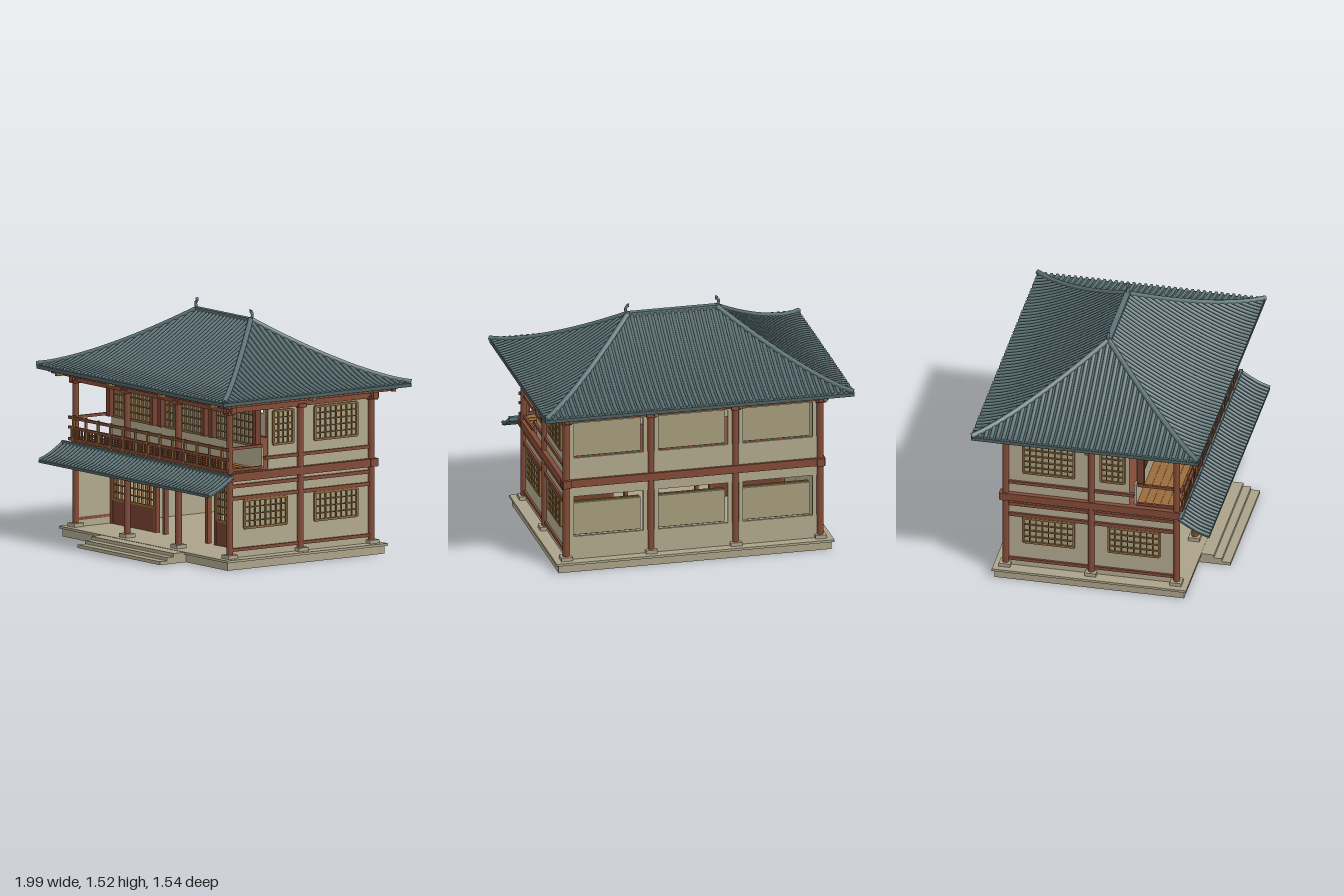
import * as THREE from 'three';
import { mergeGeometries } from 'three/addons/utils/BufferGeometryUtils.js';

const mat = (name, color, side = THREE.FrontSide) => {
  const m = new THREE.MeshStandardMaterial({ color, side });
  m.name = name;
  return m;
};

export function createModel() {
  const root = new THREE.Group();
  root.name = 'pavilion';
  const wood = mat('red timber', 0x824a36);
  const panel = mat('dark red panel', 0x74402f);
  const gold = mat('ochre lattice wood', 0x8c683c);
  const boards = mat('balcony boards', 0x9a6c3c);
  const plaster = mat('plaster', 0xb0a88d);
  const paper = mat('window paper', 0xa69c7c);
  const stone = mat('stone', 0xaaa288);
  const tile = mat('roof tile', 0x4d6063);
  const ridgeTile = mat('round tile', 0x5d7377);
  const under = mat('roof underside', 0x2c3739);

  const add = (name, geo, m, parent = root) => {
    const mesh = new THREE.Mesh(geo, m);
    mesh.name = name;
    parent.add(mesh);
    return mesh;
  };
  const boxGeo = (x0, x1, y0, y1, z0, z1) =>
    new THREE.BoxGeometry(x1 - x0, y1 - y0, z1 - z0).translate((x0 + x1) / 2, (y0 + y1) / 2, (z0 + z1) / 2);
  const box = (name, m, ...b) => add(name, boxGeo(...b), m);
  // a box and its mirror image across x
  const pair = (name, m, x0, x1, ...b) => {
    box(name, m, x0, x1, ...b);
    box(name, m, -x1, -x0, ...b);
  };
  const sweep = (pts, r, sides = 6) =>
    new THREE.TubeGeometry(new THREE.CatmullRomCurve3(pts), pts.length * 2, r, sides, false);
  const V = (x, y, z) => new THREE.Vector3(x, y, z);

  // Lattice window facing +z, centred on its own origin
  function lattice(name, w, h, cols, rows, backed = true) {
    const g = new THREE.Group();
    g.name = name;
    const bars = [];
    for (let i = 0; i <= cols; i++) {
      const x = (i / cols - 0.5) * w, t = i % cols ? 0.003 : 0.007;
      bars.push(boxGeo(x - t, x + t, -h / 2, h / 2, 0, 0.014));
    }
    for (let j = 0; j <= rows; j++) {
      const y = (j / rows - 0.5) * h, t = j % rows ? 0.003 : 0.007;
      bars.push(boxGeo(-w / 2, w / 2, y - t, y + t, 0, 0.014));
    }
    add('lattice bars', mergeGeometries(bars), gold, g);
    if (backed) add('paper', boxGeo(-w / 2, w / 2, -h / 2, h / 2, -0.006, 0.003), paper, g);
    root.add(g);
    return g;
  }

  // Platform and steps
  box('plinth', stone, -0.87, 0.87, 0, 0.052, -0.63, 0.57);
  box('plinth cap', stone, -0.885, 0.885, 0.05, 0.065, -0.645, 0.585);
  [0.77, 0.715, 0.665].forEach((z, i) => box('step', stone, -0.433, 0.433, 0, 0.021 * (i + 1), 0.56, z));

  // Columns, footings and bracket sets
  const ZF = 0.51, ZM = -0.03, ZB = -0.573;
  const spots = [[0.81, ZM, 1, 0], [-0.81, ZM, -1, 0]];
  for (const x of [-0.81, -0.27, 0.27, 0.81]) spots.push([x, ZF, 0, 1], [x, ZB, 0, -1]);
  for (const [x, z, dx, dz] of spots) {
    add('column', new THREE.CylinderGeometry(0.021, 0.021, 0.92, 14).translate(x, 0.53, z), wood);
    box('footing', stone, x - 0.036, x + 0.036, 0.06, 0.088, z - 0.036, z + 0.036);
    box('bracket block', wood, x - 0.03, x + 0.03, 0.965, 0.99, z - 0.03, z + 0.03);
    box('bracket arm', wood, x - 0.06, x + 0.06, 1.015, 1.04, z - 0.018, z + 0.018);
    box('bracket arm', wood, x - 0.018, x + 0.018, 1.015, 1.04, z - 0.06, z + 0.06);
    const ex = x + dx * 0.07, ez = z + dz * 0.07;
    box('eave arm', gold, ex - 0.012 - 0.07 * Math.abs(dx), ex + 0.012 + 0.07 * Math.abs(dx), 1.02, 1.045,
      ez - 0.012 - 0.07 * Math.abs(dz), ez + 0.012 + 0.07 * Math.abs(dz));
  }

  // Main beams on both levels and the eave purlins
  for (const z of [ZF, ZB]) {
    box('floor beam', wood, -0.84, 0.84, 0.545, 0.595, z - 0.025, z + 0.025);
    box('top beam', wood, -0.86, 0.86, 0.975, 1.02, z - 0.018, z + 0.018);
  }
  pair('floor beam', wood, 0.785, 0.835, 0.545, 0.595, -0.61, 0.56);
  pair('top beam', wood, 0.792, 0.828, 0.975, 1.02, -0.62, 0.55);
  for (const z of [0.6, -0.663]) box('eave purlin', wood, -0.93, 0.93, 1.02, 1.042, z - 0.012, z + 0.012);
  pair('eave purlin', wood, 0.888, 0.912, 1.022, 1.044, -0.68, 0.62);

  // Upper floor and balcony deck
  box('upper floor', wood, -0.8, 0.8, 0.565, 0.592, -0.57, 0.25);
  box('balcony deck', boards, -0.8, 0.8, 0.57, 0.6, 0.25, 0.545);
  for (let i = 1; i < 6; i++)
    box('deck joint', gold, -0.8, 0.8, 0.598, 0.603, 0.25 + i * 0.048, 0.253 + i * 0.048);

  // Side walls with rails and windows
  pair('lower side wall', plaster, 0.79, 0.804, 0.065, 0.55, ZB, 0.5);
  pair('upper side wall', plaster, 0.79, 0.804, 0.595, 0.98, ZB, 0.212);
  for (const [y0, y1] of [[0.105, 0.125], [0.425, 0.448], [0.502, 0.524]])
    pair('side rail', wood, 0.79, 0.818, y0, y1, ZB, ZF);
  pair('side rail', wood, 0.79, 0.818, 0.66, 0.68, ZB, 0.24);
  for (const s of [-1, 1])
    for (const [z0, z1, y0, y1, c, r] of [[0.08, 0.4, 0.245, 0.418, 8, 4], [-0.46, -0.14, 0.245, 0.418, 8, 4],
      [0.03, 0.178, 0.75, 0.958, 4, 5], [-0.46, -0.14, 0.75, 0.958, 8, 5]]) {
      const w = lattice('side window', z1 - z0, y1 - y0, c, r);
      w.position.set(s * 0.806, (y0 + y1) / 2, (z0 + z1) / 2);
      w.rotation.y = s * Math.PI / 2;
    }

  // Back wall: each bay has an opening with a recessed screen, latticed on the room side
  for (const x of [-0.54, 0, 0.54]) {
    for (const [f, sill, head, top] of [[0.065, 0.215, 0.48, 0.55], [0.595, 0.735, 0.965, 0.985]]) {
      box('back wall base', plaster, x - 0.25, x + 0.25, f, sill, ZB - 0.008, ZB + 0.008);
      box('back wall head', plaster, x - 0.25, x + 0.25, head, top, ZB - 0.008, ZB + 0.008);
      for (const s of [-1, 1])
        box('back jamb', plaster, x + s * 0.235 - 0.013, x + s * 0.235 + 0.013, sill, head, ZB - 0.008, ZB + 0.008);
      const y1 = f < 0.1 ? 0.42 : 0.97, y0 = sill - 0.005;
      box('back screen', paper, x - 0.215, x + 0.215, y0, y1, ZB + 0.035, ZB + 0.045);
      lattice('back window', 0.415, y1 - y0, 10, 5).position.set(x, (y0 + y1) / 2, ZB + 0.05);
    }
  }

  // Ground floor front, set back behind the porch
  pair('lower panel', panel, 0.325, 0.765, 0.065, 0.218, 0.24, 0.26);
  pair('front post', wood, 0.305, 0.328, 0.065, 0.55, 0.235, 0.265);
  pair('front post', wood, 0.762, 0.785, 0.065, 0.55, 0.235, 0.265);
  pair('door post', wood, 0.215, 0.237, 0.065, 0.55, 0.235, 0.265);
  box('front lintel', wood, -0.785, 0.785, 0.48, 0.56, 0.235, 0.265);
  box('door head', plaster, -0.215, 0.215, 0.44, 0.456, 0.24, 0.26);
  for (const s of [-1, 1]) lattice('front screen', 0.43, 0.23, 10, 5, false).position.set(s * 0.545, 0.335, 0.25);

  // Upper floor front, behind the balcony
  box('parapet wall', plaster, -0.79, 0.79, 0.595, 0.735, 0.237, 0.253);
  box('upper head', plaster, -0.79, 0.79, 0.975, 1.035, 0.237, 0.253);
  for (const x of [-0.54, 0, 0.54]) {
    lattice('upper window', 0.42, 0.235, 10, 5).position.set(x, 0.857, 0.25);
    for (const s of [-1, 1])
      box('open shutter', panel, x + s * 0.228 - 0.018, x + s * 0.228 + 0.018, 0.74, 0.98, 0.255, 0.297);
  }

  // Balcony railing
  const ZR = 0.535;
  for (const [y, t] of [[0.75, 0.009], [0.688, 0.008], [0.615, 0.009]]) {
    box('front handrail', wood, -0.835, 0.835, y - t, y + t, ZR + 0.002, ZR + 0.018);
    if (y !== 0.688) pair('side handrail', wood, 0.803, 0.818, y - t, y + t, 0.265, ZR);
  }
  const balusters = [];
  for (let i = 0; i <= 46; i++) {
    const x = -0.805 + i * 0.035;
    balusters.push(boxGeo(x - 0.008, x + 0.008, 0.62, 0.685, ZR + 0.005, ZR + 0.013));
  }
  add('balusters', mergeGeometries(balusters), panel);
  for (let i = 0; i <= 12; i++) {
    const x = -0.78 + i * 0.13;
    box('rail post', gold, x - 0.007, x + 0.007, 0.595, 0.765, ZR + 0.006, ZR + 0.021);
  }

  // Porch roof: curved sheet with round tiles
  const slope = [[0.55, 0.583], [0.61, 0.545], [0.67, 0.512], [0.735, 0.49]];
  const sheet = new THREE.Shape([...slope, ...slope.map(([z, y]) => [z, y - 0.016]).reverse()].map(p => new THREE.Vector2(...p)));
  add('porch roof', new THREE.ExtrudeGeometry(sheet, { depth: 1.79, bevelEnabled: false })
    .rotateY(-Math.PI / 2).translate(0.895, 0, 0), tile);
  const porchRibs = [];
  for (let i = 0; i <= 48; i++)
    porchRibs.push(sweep(slope.map(([z, y]) => V(-0.888 + i * 0.037, y + 0.002, z)), 0.011));
  add('porch round tiles', mergeGeometries(porchRibs), ridgeTile);
  box('porch ridge', ridgeTile, -0.895, 0.895, 0.57, 0.597, 0.54, 0.562);

  // Hipped main roof: rectangular rings that shrink from the eave (t = 0) to the ridge (t = 1)
  const RZ = -0.035, HX = 0.985, HZ = 0.72, RIDGE = 0.28;
  const rise = t => 1.07 + 0.37 * Math.pow(t, 1.4);
  const halfX = t => RIDGE + (HX - RIDGE) * (1 - t);
  const halfZ = t => HZ * (1 - t);
  function rings(profile) {
    const pos = [];
    const corners = profile.map(([t, dy]) => [[1, 1], [1, -1], [-1, -1], [-1, 1]]
      .map(([sx, sz]) => [sx * halfX(t), rise(t) + dy, RZ + sz * halfZ(t)]));
    for (let i = 0; i + 1 < corners.length; i++)
      for (let j = 0; j < 4; j++) {
        const a = corners[i], b = corners[i + 1], k = (j + 1) % 4;
        pos.push(...a[j], ...a[k], ...b[k], ...a[j], ...b[k], ...b[j]);
      }
    const g = new THREE.BufferGeometry();
    g.setAttribute('position', new THREE.Float32BufferAttribute(pos, 3));
    g.computeVertexNormals();
    return g;
  }
  const steps = Array.from({ length: 13 }, (_, i) => i / 12);
  add('roof slopes', rings([[0, -0.022], ...steps.map(t => [t, 0])]), tile);
  add('roof soffit', rings([...steps].reverse().map(t => [t, -0.022])), under);

  // Round tile rows and rafters, each stopping at the hips
  const ribs = [], rafters = [];
  const row = (s, u, alongX, t0, t1, dy) => Array.from({ length: 7 }, (_, i) => {
    const t = t0 + (t1 - t0) * i / 6;
    return alongX ? V(u, rise(t) + dy, RZ + s * halfZ(t)) : V(s * halfX(t), rise(t) + dy, RZ + u);
  });
  for (const s of [-1, 1]) {
    for (let i = -26; i <= 26; i++) {
      const x = i * 0.0372, t1 = Math.min(1, (HX - Math.abs(x)) / (HX - RIDGE));
      ribs.push(sweep(row(s, x, true, 0, t1, 0.003), 0.012));
      if (t1 > 0.1) rafters.push(sweep(row(s, x, true, 0.03, Math.min(t1, 0.3), -0.03), 0.008, 4));
    }
    for (let i = -19; i <= 19; i++) {
      const z = i * 0.0372, t1 = 1 - Math.abs(z) / HZ;
      ribs.push(sweep(row(s, z, false, 0, t1, 0.003), 0.012));
      if (t1 > 0.1) rafters.push(sweep(row(s, z, false, 0.03, Math.min(t1, 0.25), -0.03), 0.008, 4));
    }
  }
  add('roof round tiles', mergeGeometries(ribs), ridgeTile);
  add('rafters', mergeGeometries(rafters), gold);

  // Hip ridges, main ridge and upturned finials
  for (const sx of [-1, 1]) {
    for (const sz of [-1, 1])
      add('hip ridge', sweep(steps.map(t => V(sx * halfX(t), rise(t) + 0.008, RZ + sz * halfZ(t))), 0.017, 8), ridgeTile);
    add('ridge finial', sweep([V(sx * 0.27, 1.445, RZ), V(sx * 0.295, 1.465, RZ), V(sx * 0.295, 1.487, RZ),
      V(sx * 0.28, 1.5, RZ), V(sx * 0.287, 1.513, RZ)], 0.009, 8), ridgeTile);
  }
  box('main ridge', ridgeTile, -0.29, 0.29, 1.42, 1.456, RZ - 0.018, RZ + 0.018);
  return root;
}
